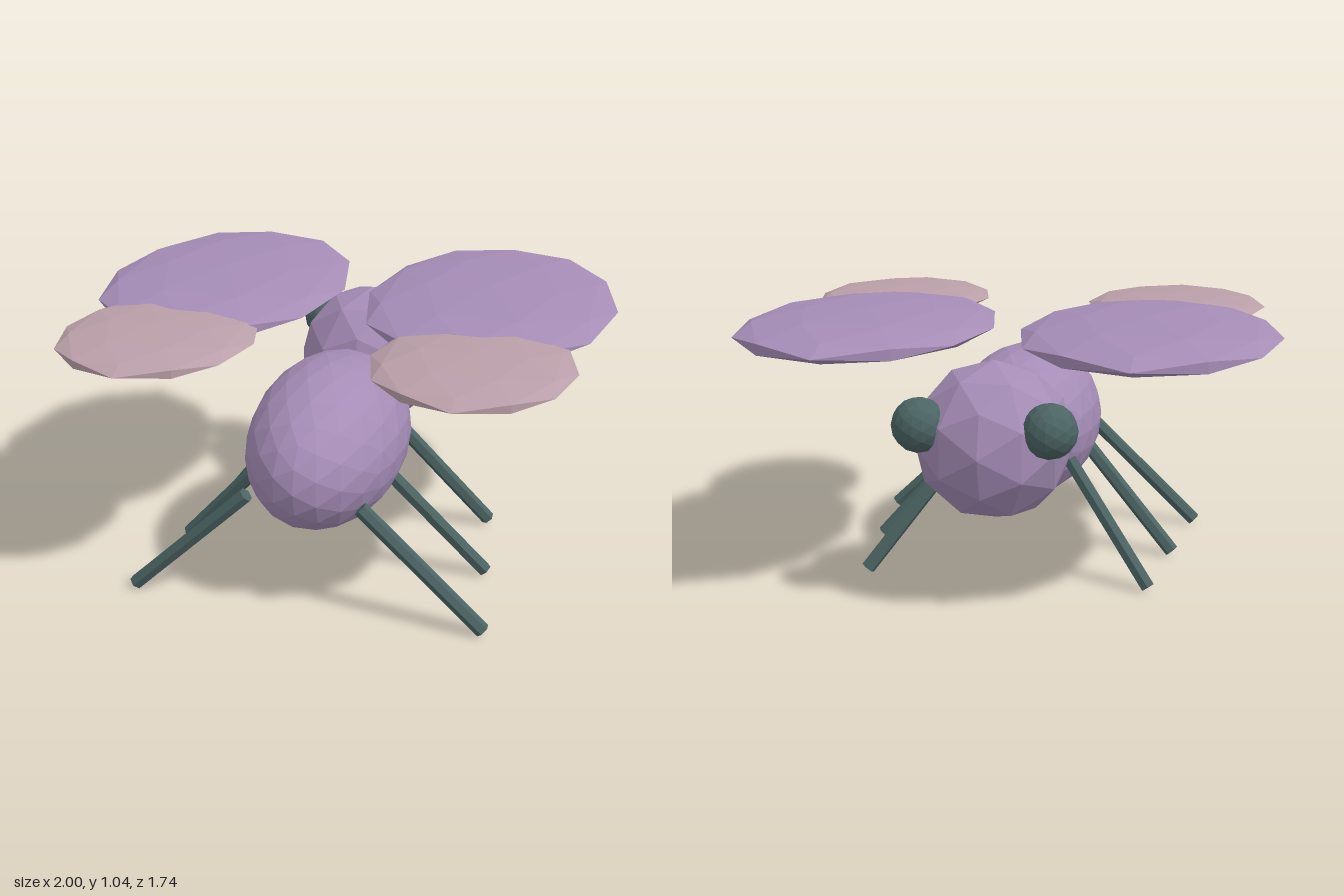
import * as THREE from 'three';

const flat = (name, color) => {
  const m = new THREE.MeshStandardMaterial({ color, flatShading: true });
  m.name = name;
  return m;
};

export function createModel() {
  const purple = flat('soft purple', 0xa58cb6);
  const pink = flat('dusty pink', 0xb99ea8);
  const dark = flat('dark teal', 0x4c6464);

  const group = new THREE.Group();
  group.name = 'insect';

  // Faceted ellipsoid from a subdivided icosahedron
  const ellipsoid = (name, material, detail, center, radii) => {
    const geometry = new THREE.IcosahedronGeometry(1, detail);
    geometry.scale(...radii);
    const mesh = new THREE.Mesh(geometry, material);
    mesh.name = name;
    mesh.position.set(...center);
    group.add(mesh);
  };

  // Six-sided rod between two points
  const rod = (name, from, to) => {
    const a = new THREE.Vector3(...from);
    const b = new THREE.Vector3(...to);
    const dir = b.clone().sub(a);
    const mesh = new THREE.Mesh(new THREE.CylinderGeometry(0.028, 0.028, dir.length(), 6), dark);
    mesh.name = name;
    mesh.position.copy(a).add(b).multiplyScalar(0.5);
    mesh.quaternion.setFromUnitVectors(new THREE.Vector3(0, 1, 0), dir.normalize());
    group.add(mesh);
  };

  // Body and head; the head points towards -z
  ellipsoid('body', purple, 3, [0, 0.535, 0.21], [0.293, 0.297, 0.5]);
  ellipsoid('head', purple, 1, [0, 0.62, -0.445], [0.29, 0.29, 0.29]);

  for (const [side, s] of [['left', 1], ['right', -1]]) {
    ellipsoid(side + 'Eye', dark, 2, [s * 0.23, 0.705, -0.612], [0.098, 0.098, 0.098]);

    // Flat wings, the large pair overlapping the small one
    ellipsoid(side + 'ForeWing', purple, 1, [s * 0.525, 0.975, -0.2], [0.475, 0.066, 0.67]);
    ellipsoid(side + 'HindWing', pink, 1, [s * 0.565, 0.975, 0.45], [0.355, 0.048, 0.415]);

    // Splayed legs
    rod(side + 'FrontLeg', [s * 0.22, 0.455, -0.09], [s * 0.545, 0.02, -0.25]);
    rod(side + 'MiddleLeg', [s * 0.22, 0.45, 0.25], [s * 0.6, 0.02, 0.165]);
    rod(side + 'RearLeg', [s * 0.21, 0.45, 0.585], [s * 0.66, 0.02, 0.585]);
  }
  return group;
}
